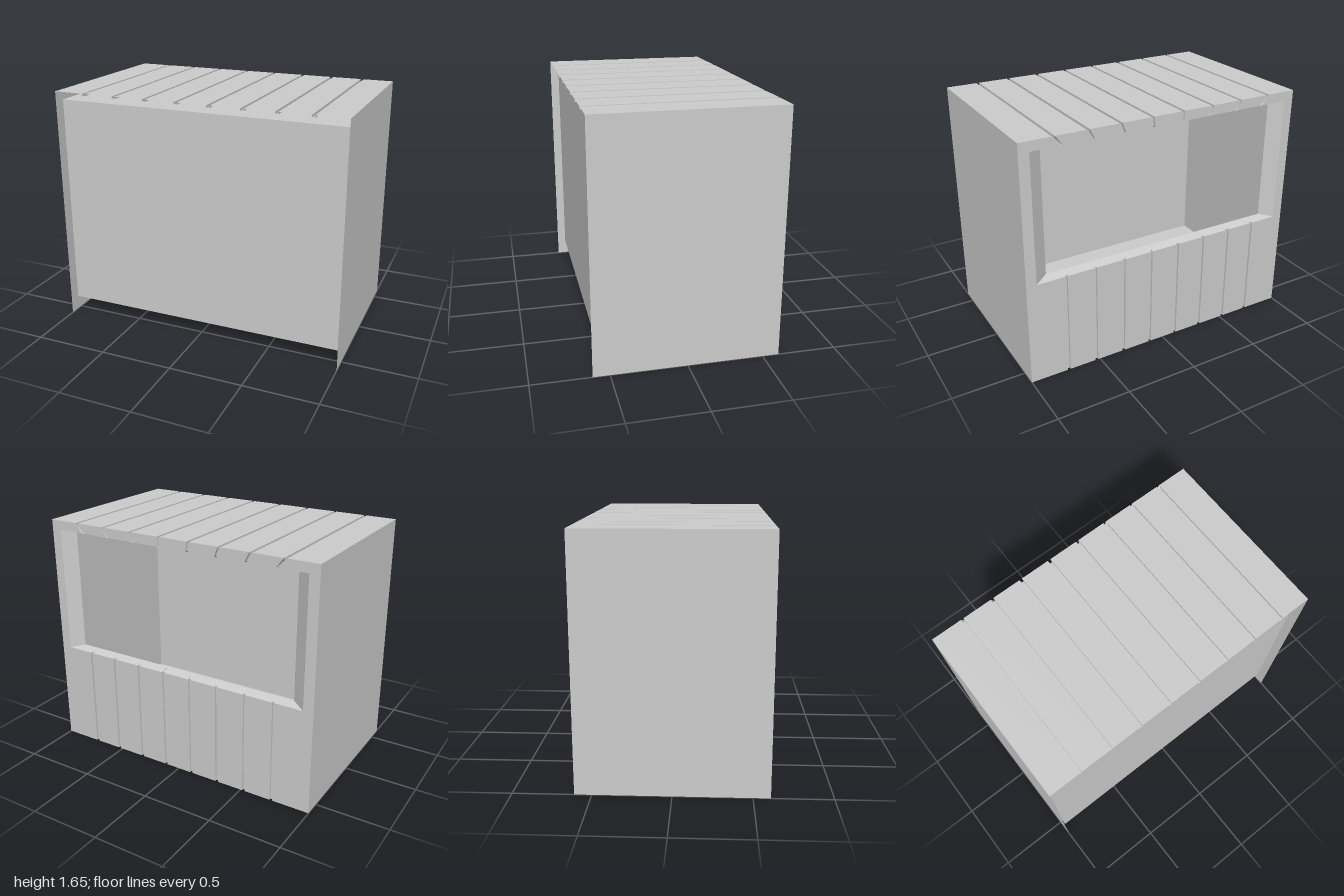
import * as THREE from 'three';

const W = 1, H = 1.65, D = 0.61;                 // outer shell half width, height, half depth
const IW = 0.985, IB = 0.11, IT = 1.585, ID = 0.55; // inner box
const HOLE = { x: 0.93, b: 0.715, t: 1.585 };    // window on the outer face
const INNER = { x: 0.84, b: 0.735, t: 1.565 };   // window on the inner face
const GROOVE = 0.01, DEPTH = 0.016;              // groove half width and depth
const ROOF_X = [-0.78, -0.555, -0.335, -0.112, 0.112, 0.335, 0.555, 0.78];
const WALL_X = [-0.73, -0.523, -0.313, -0.105, 0.105, 0.313, 0.523, 0.73];
const SILL_X = WALL_X.map((x) => x * INNER.x / HOLE.x);

const material = new THREE.MeshStandardMaterial({ color: 0xcccccc, side: THREE.DoubleSide });

function addMesh(group, name, geometry, x = 0, y = 0, z = 0) {
  const mesh = new THREE.Mesh(geometry, material);
  mesh.name = name;
  mesh.position.set(x, y, z);
  group.add(mesh);
  return mesh;
}

// One edge of a sheet: runs along x at height y and depth z, dipping at each groove
function edge(half, y, z, grooves = [], dy = 0, dz = 0) {
  const points = [[-half, y, z]];
  for (const x of grooves) {
    points.push([x - GROOVE, y, z], [x - GROOVE, y + dy, z + dz]);
    points.push([x + GROOVE, y + dy, z + dz], [x + GROOVE, y, z]);
  }
  points.push([half, y, z]);
  return points;
}

// Flat-shaded sheet between two edges with equal point counts
function sheet(a, b) {
  const positions = [];
  for (let i = 0; i < a.length - 1; i++) {
    positions.push(...a[i], ...b[i], ...b[i + 1], ...a[i], ...b[i + 1], ...a[i + 1]);
  }
  const geometry = new THREE.BufferGeometry();
  geometry.setAttribute('position', new THREE.Float32BufferAttribute(positions, 3));
  geometry.computeVertexNormals();
  return geometry;
}

export function createModel() {
  const model = new THREE.Group();
  model.name = 'serviceBooth';

  // Grooved roof and back boards, sharing the groove lines at the corner
  const corner = edge(W, H, -D, ROOF_X, -DEPTH, DEPTH);
  addMesh(model, 'roofBoards', sheet(corner, edge(W, H, D, ROOF_X, -DEPTH, 0)));
  addMesh(model, 'backHeaderBoards', sheet(edge(W, HOLE.t, -D, WALL_X, 0, DEPTH), corner));
  addMesh(model, 'backLowerBoards',
    sheet(edge(W, 0, -D, WALL_X, 0, DEPTH), edge(W, HOLE.b, -D, WALL_X, 0, DEPTH)));

  // Bevelled sill and lintel, notched where the grooves meet them
  addMesh(model, 'windowSill',
    sheet(edge(HOLE.x, HOLE.b, -D, WALL_X, 0, DEPTH), edge(INNER.x, INNER.b, -ID, SILL_X)));
  addMesh(model, 'windowLintel',
    sheet(edge(INNER.x, INNER.t, -ID, SILL_X), edge(HOLE.x, HOLE.t, -D, WALL_X, 0, DEPTH)));

  // Side walls, back posts and window jambs
  for (const s of [1, -1]) {
    const side = s > 0 ? 'left' : 'right';
    const wall = addMesh(model, side + 'Wall', new THREE.PlaneGeometry(2 * D, H), s * W, H / 2, 0);
    wall.rotation.y = s * Math.PI / 2;

    const outer = [[s * W, 0, 0], [s * HOLE.x, 0, 0]];
    if (s > 0) outer.reverse();
    const rail = (y) => outer.map(([x]) => [x, y, -D]);
    addMesh(model, side + 'BackPost', sheet(rail(HOLE.b), rail(HOLE.t)));

    const jamb = (y0, y1) => {
      const points = [[s * INNER.x, y1, -ID], [s * HOLE.x, y0, -D]];
      return s > 0 ? points : points.reverse();
    };
    addMesh(model, side + 'WindowJamb', sheet(jamb(HOLE.b, INNER.b), jamb(HOLE.t, INNER.t)));
  }

  // Inner box with its front panel, floor, ceiling and sides; the back face is dropped
  const box = new THREE.BoxGeometry(2 * IW, IT - IB, 2 * ID);
  box.setIndex(Array.from(box.index.array).slice(0, 30));
  box.clearGroups();
  addMesh(model, 'innerBox', box, 0, (IT + IB) / 2, 0);

  // Inner back wall with the window opening
  const rect = (path, x, b, t) =>
    path.moveTo(-x, b).lineTo(x, b).lineTo(x, t).lineTo(-x, t).closePath();
  const back = new THREE.Shape();
  rect(back, IW, IB, IT);
  const hole = new THREE.Path();
  rect(hole, INNER.x, INNER.b, INNER.t);
  back.holes.push(hole);
  const innerBack = addMesh(model, 'innerBackWall', new THREE.ShapeGeometry(back), 0, 0, -ID);
  innerBack.rotation.y = Math.PI;

  return model;
}
